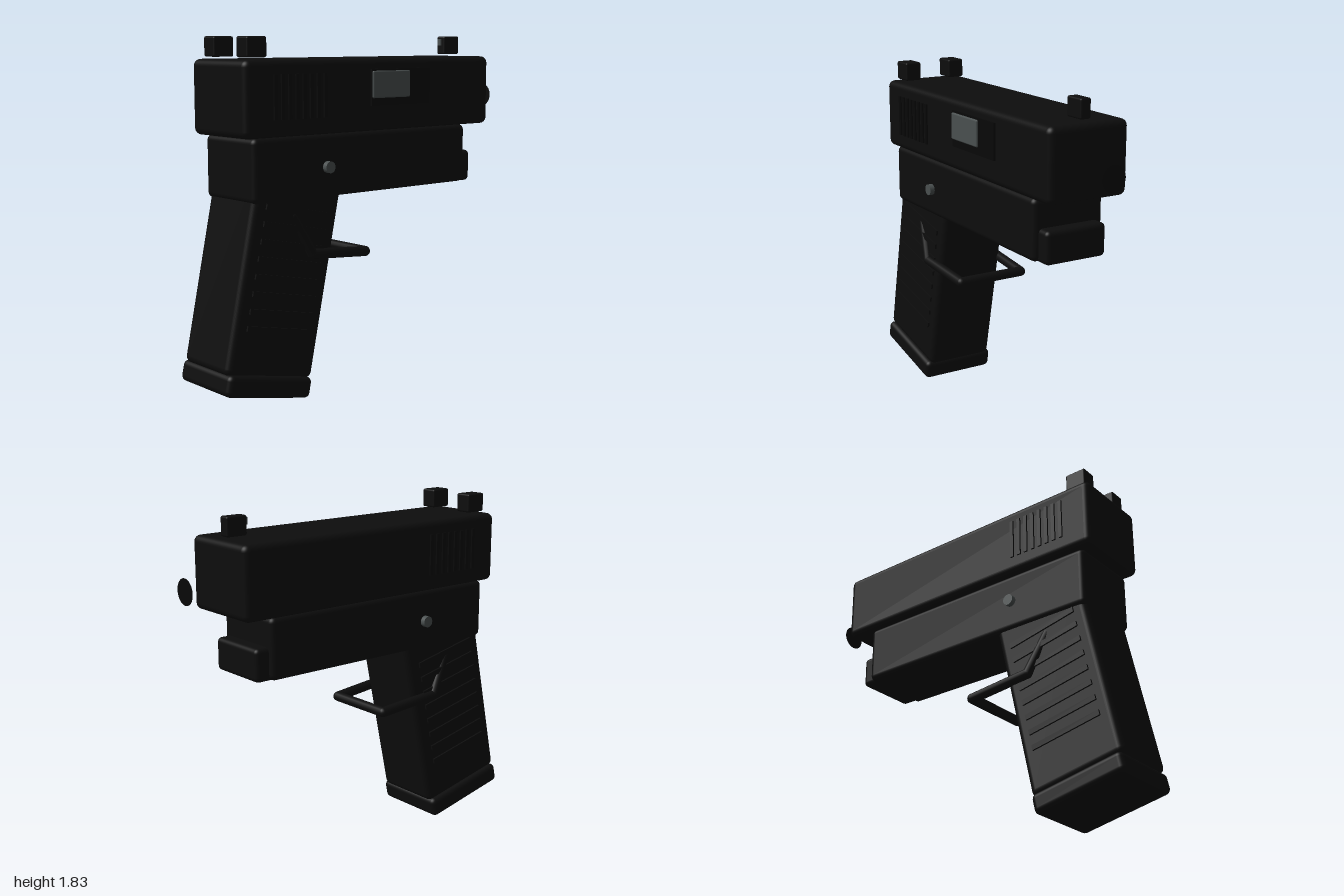
import * as THREE from 'three';
import { RoundedBoxGeometry } from 'three/addons/geometries/RoundedBoxGeometry.js';

export function createModel() {
  const mat = (name, color, side = THREE.FrontSide) => {
    const m = new THREE.MeshStandardMaterial({ color, side });
    m.name = name;
    return m;
  };
  const black = mat('matte black', 0x0d0d0d);
  const dark = mat('deep black', 0x080808, THREE.DoubleSide);
  const steel = mat('grey steel', 0x4a5050);

  const model = new THREE.Group();
  model.name = 'pistol';
  model.position.x = -0.005;

  const add = (name, geometry, material, x, y, z, parent = model) => {
    const mesh = new THREE.Mesh(geometry, material);
    mesh.name = name;
    mesh.position.set(x, y, z);
    parent.add(mesh);
    return mesh;
  };
  const rounded = (w, h, d, r) => new RoundedBoxGeometry(w, h, d, 4, r);
  const box = (w, h, d) => new THREE.BoxGeometry(w, h, d);

  // Slide, frame and accessory rail
  add('slide', rounded(0.454, 0.375, 1.69, 0.035), black, 0, 1.537, 0.035);
  add('frame', rounded(0.41, 0.32, 1.465, 0.03), black, 0, 1.19, 0.087);
  add('accessoryRail', rounded(0.35, 0.172, 0.61, 0.025), black, 0, 1.113, -0.415);

  // Ejection port on one side
  add('ejectionPort', box(0.02, 0.19, 0.42), dark, 0.227, 1.575, -0.12);
  add('chamberWindow', rounded(0.02, 0.14, 0.262, 0.008), steel, 0.237, 1.59, -0.045);

  // Muzzle disc in front of the slide
  add('muzzle', new THREE.CircleGeometry(0.067, 32), dark, 0, 1.497, -1).rotation.y = Math.PI;

  // Sights
  for (const s of [-1, 1]) {
    add('rearSight', rounded(0.092, 0.1, 0.118, 0.01), black, s * 0.136, 1.785, 0.776);
  }
  add('frontSight', rounded(0.06, 0.1, 0.118, 0.01), black, 0, 1.785, -0.712);
  add('frontSightMarker', box(0.025, 0.036, 0.006), steel, 0, 1.803, -0.643);

  // Slide serrations and frame pins on both sides
  for (const s of [-1, 1]) {
    for (let i = 0; i < 8; i++) {
      add('slideSerration', box(0.02, 0.22, 0.02), dark, s * 0.226, 1.545, 0.395 + i * 0.0445);
    }
    const pin = new THREE.CylinderGeometry(0.03, 0.03, 0.027, 24);
    add('framePin', pin, steel, s * 0.228, 1.185, 0.37).rotation.z = Math.PI / 2;
  }

  // Raked grip, built upright with its foot at the origin and then tilted
  const grip = new THREE.Group();
  grip.name = 'grip';
  grip.position.set(0, 0.109, 0.732);
  grip.rotation.x = -THREE.MathUtils.degToRad(12);
  model.add(grip);
  add('gripBody', rounded(0.386, 1.02, 0.54, 0.035), black, 0, 0.555, 0, grip);
  add('magazineBase', rounded(0.426, 0.11, 0.525, 0.03), black, 0, 0, 0, grip);
  for (const s of [-1, 1]) {
    for (let i = 0; i < 8; i++) {
      add('gripRidge', box(0.02, 0.028, 0.4), black, s * 0.193, 0.285 + i * 0.086, 0, grip);
    }
  }

  // Trigger guard loop: straight rods with rounded joints
  const half = [[0.17, 0.95, 0.565], [0.2, 0.75, 0.46], [0.19, 0.718, 0.095]];
  const points = [...half, ...half.slice().reverse().map(([x, y, z]) => [-x, y, z])]
    .map((p) => new THREE.Vector3(...p));
  const guard = new THREE.Group();
  guard.name = 'triggerGuard';
  model.add(guard);
  const radius = 0.027;
  points.forEach((p, i) => {
    add('guardJoint', new THREE.SphereGeometry(radius, 16, 12), black, p.x, p.y, p.z, guard);
    if (i === 0) return;
    const direction = p.clone().sub(points[i - 1]);
    const middle = p.clone().add(points[i - 1]).multiplyScalar(0.5);
    const rod = new THREE.CylinderGeometry(radius, radius, direction.length(), 16);
    add('guardRod', rod, black, middle.x, middle.y, middle.z, guard)
      .quaternion.setFromUnitVectors(new THREE.Vector3(0, 1, 0), direction.normalize());
  });

  return model;
}
